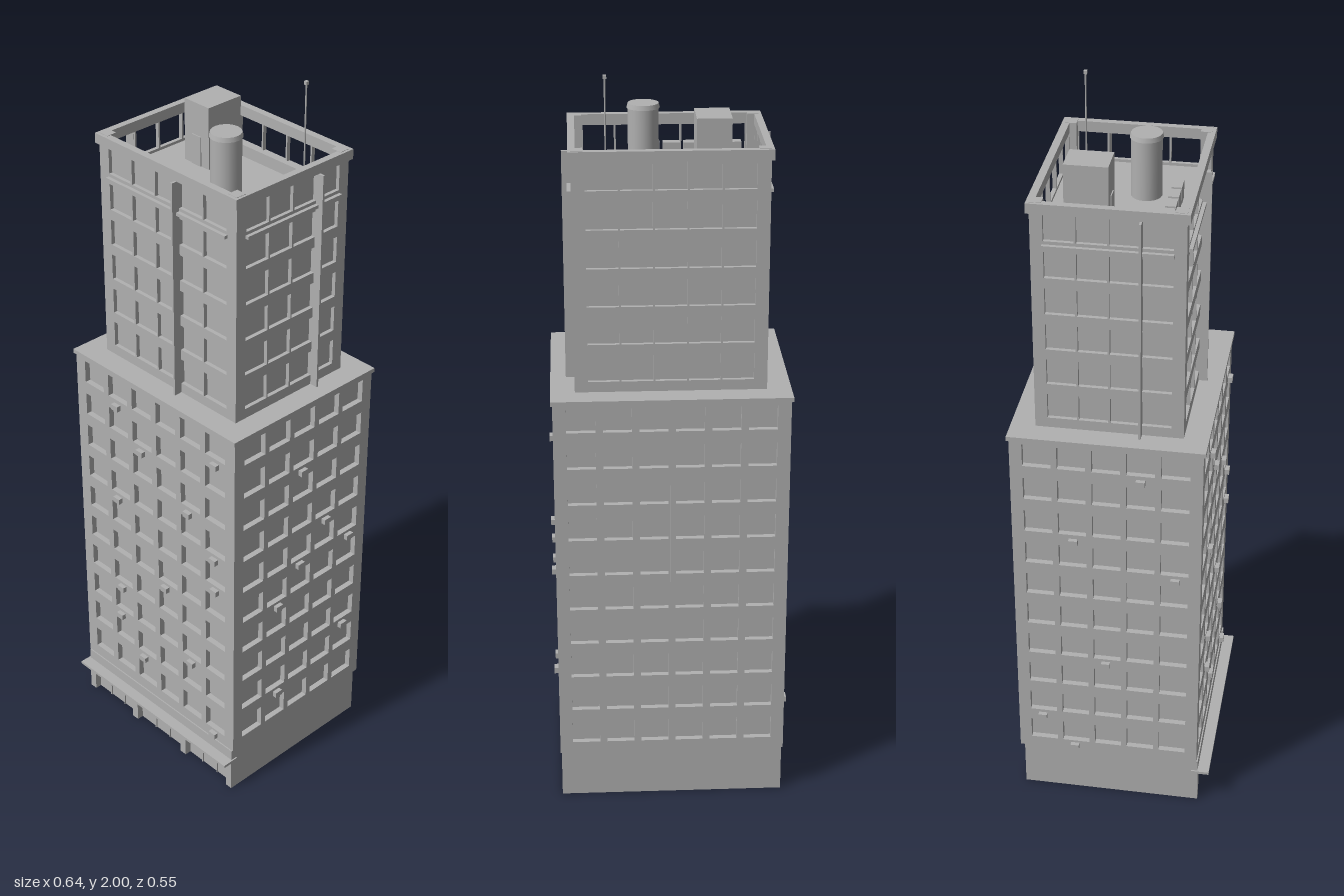
import * as THREE from 'three';

const CZ = -0.016; // depth centre of the tower blocks

export function createModel() {
  const model = new THREE.Group();
  model.name = 'steppedTower';
  const concrete = new THREE.MeshStandardMaterial({ color: 0xb0b0b0 });
  concrete.name = 'concreteGrey';

  const add = (name, geometry, parent = model) => {
    const mesh = new THREE.Mesh(geometry, concrete);
    mesh.name = name;
    parent.add(mesh);
    return mesh;
  };
  // Box given by its minimum and maximum on each axis
  const box = (name, x0, x1, y0, y1, z0, z1, parent) => {
    const g = new THREE.BoxGeometry(x1 - x0, y1 - y0, z1 - z0);
    g.translate((x0 + x1) / 2, (y0 + y1) / 2, (z0 + z1) / 2);
    return add(name, g, parent);
  };
  const rectPath = (P, x0, x1, y0, y1) => new P([
    new THREE.Vector2(x0, y0), new THREE.Vector2(x1, y0),
    new THREE.Vector2(x1, y1), new THREE.Vector2(x0, y1),
  ]);

  // Wall panel in its own xy plane, outer face at z = 0, with a grid of openings
  const wall = (o) => {
    const shape = rectPath(THREE.Shape, -o.w / 2, o.w / 2, o.y0, o.y1);
    for (let r = 0; r < o.rows; r++) {
      for (let c = 0; c < o.cols; c++) {
        const x = (c - (o.cols - 1) / 2) * o.pitchX;
        const y = o.firstY + r * o.pitchY;
        shape.holes.push(rectPath(THREE.Path, x - o.winW / 2, x + o.winW / 2, y - o.winH / 2, y + o.winH / 2));
      }
    }
    const g = new THREE.ExtrudeGeometry(shape, { depth: o.t, bevelEnabled: false });
    return g.translate(0, 0, -o.t);
  };

  // Four groups facing outward: front, right-hand, back, other side
  const faces = (name, hx, hz, build) => {
    for (let i = 0; i < 4; i++) {
      const side = i % 2 === 1;
      const g = new THREE.Group();
      g.name = name + ['Front', 'Left', 'Back', 'Right'][i];
      const a = i * Math.PI / 2;
      g.rotation.y = a;
      const d = side ? hx : hz;
      g.position.set(Math.sin(a) * d, 0, CZ + Math.cos(a) * d);
      build(g, side, i);
      model.add(g);
    }
  };

  // Ground floor with shopfront
  box('groundFloor', -0.305, 0.305, 0, 0.14, -0.257, 0.222);
  box('shopFascia', -0.305, 0.305, 0.108, 0.14, 0.222, 0.24);
  box('canopy', -0.309, 0.309, 0.1, 0.108, 0.222, 0.272);
  for (const x of [-0.294, -0.104, 0.104, 0.294]) {
    box('shopPillar', x - 0.011, x + 0.011, 0, 0.1, 0.222, 0.241);
  }
  for (const x of [-0.2, 0, 0.2]) {
    for (const s of [-0.03, 0.03]) box('shopMullion', x + s - 0.002, x + s + 0.002, 0, 0.1, 0.222, 0.226);
  }

  // Lower block: recessed core inside pierced walls
  const LX = 0.308, LZ = 0.2525, LT = 0.016;
  box('lowerCore', -LX + LT, LX - LT, 0.14, 1.18, CZ - LZ + LT, CZ + LZ - LT);
  faces('lowerWall', LX, LZ, (g, side) => {
    add('piercedWall', wall({
      w: side ? 2 * (LZ - LT) : 2 * LX, y0: 0.14, y1: 1.18, t: LT,
      cols: side ? 5 : 6, rows: 10, pitchX: side ? 0.0907 : 0.0942, pitchY: 0.103,
      firstY: 0.207, winW: 0.075, winH: 0.066,
    }), g);
  });
  box('lowerCornice', -0.313, 0.313, 1.178, 1.19, CZ - 0.258, CZ + 0.258);
  box('backDownpipe', -0.004, 0.004, 0.14, 1.18, CZ - LZ - 0.004, CZ - LZ);

  // Air conditioners below windows: [position along the wall, height]
  const front = [[-0.143, 1.082], [0.238, 1.082], [-0.048, 0.981], [0.135, 0.875], [-0.148, 0.775],
    [0.235, 0.775], [0.238, 0.673], [0.04, 0.57], [-0.143, 0.467], [-0.151, 0.363], [0.143, 0.363],
    [-0.056, 0.26], [0.233, 0.159]];
  const plusX = [[-0.01, 0.981], [-0.106, 0.775], [-0.2, 0.673], [-0.008, 0.673], [0.073, 0.57],
    [-0.19, 0.363], [0.07, 0.26]];
  const minusX = [[0.075, 1.082], [-0.104, 0.875], [0.168, 0.775], [-0.02, 0.467], [-0.2, 0.26], [-0.11, 0.159]];
  for (const [x, y] of front) {
    box('airConditioner', x - 0.012, x + 0.012, y - 0.008, y + 0.008, 0.23, 0.249);
  }
  for (const [list, s] of [[plusX, 1], [minusX, -1]]) {
    for (const [z, y] of list) {
      const xs = [s * 0.3, s * 0.32].sort((a, b) => a - b);
      box('airConditioner', xs[0], xs[1], y - 0.008, y + 0.008, z - 0.012, z + 0.012);
    }
  }

  // Upper block: core up to the roof deck, walls continuing as an open-backed parapet
  const UX = 0.249, UZ = 0.193, UT = 0.011, DECK = 1.718;
  box('upperCore', -UX + UT, UX - UT, 1.185, DECK, CZ - UZ + UT, CZ + UZ - UT);
  faces('upperWall', UX, UZ, (g, side, i) => {
    const cols = side ? 4 : 5, pitch = side ? 0.0815 : 0.0868;
    const span = cols * pitch / 2;
    add('piercedWall', wall({
      w: side ? 2 * (UZ - UT) : 2 * UX, y0: 1.185, y1: 1.82, t: UT,
      cols, rows: 6, pitchX: pitch, pitchY: 0.1015,
      firstY: 1.254, winW: pitch - 0.005, winH: 0.072,
    }), g);
    // Parapet glazing faces outward only
    const pane = new THREE.PlaneGeometry(span * 2, 0.074);
    add('parapetGlazing', pane.translate(0, 1.7615, -UT + 0.001), g);
    if (i !== 2) {
      box('floorLedge', -span, span, 1.708, 1.717, 0, 0.01, g);
      // Slim vertical fin standing on one mullion
      const x = side ? 0.0815 : 0.0434;
      box('verticalFin', x - 0.003, x + 0.003, 1.19, 1.8, -0.005, 0.023, g);
    }
  });
  for (const sx of [-1, 1]) {
    for (const sz of [-1, 1]) {
      const x = sx * (UX - 0.0155), z = CZ + sz * (UZ - 0.0155);
      box('cornerPier', x - 0.015, x + 0.015, DECK, 1.828, z - 0.015, z + 0.015);
    }
  }

  // Parapet capping ring
  const ring = rectPath(THREE.Shape, -0.256, 0.256, -0.201, 0.201);
  ring.holes.push(rectPath(THREE.Path, -0.237, 0.237, -0.181, 0.181));
  const cap = new THREE.ExtrudeGeometry(ring, { depth: 0.027, bevelEnabled: false });
  cap.rotateX(-Math.PI / 2).translate(0, 1.8, CZ);
  add('parapetCap', cap);

  // Roof equipment
  box('stairHouse', -0.156, -0.067, DECK, 1.888, -0.142, -0.03);
  box('stairDoor', -0.128, -0.095, DECK, 1.8, -0.03, -0.027);
  box('roofDuct', -0.202, 0.15, DECK, 1.75, -0.165, -0.149);
  for (let i = 0; i < 5; i++) {
    const x = -0.2 + i * 0.0536;
    box('roofCooler', x, x + 0.045, DECK, 1.765, 0.1, 0.127);
  }
  const tank = add('waterTank', new THREE.CylinderGeometry(0.04, 0.04, 0.165, 20));
  tank.position.set(0.06, DECK + 0.0825, 0.031);
  const lid = add('waterTankLid', new THREE.CylinderGeometry(0.04, 0.043, 0.012, 20));
  lid.position.set(0.06, 1.883, 0.031);
  const mast = add('antennaMast', new THREE.CylinderGeometry(0.0022, 0.0022, 0.28, 8));
  mast.position.set(0.161, DECK + 0.14, -0.142);
  box('antennaTip', 0.1565, 0.1655, 1.991, 2, -0.1465, -0.1375);

  return model;
}
